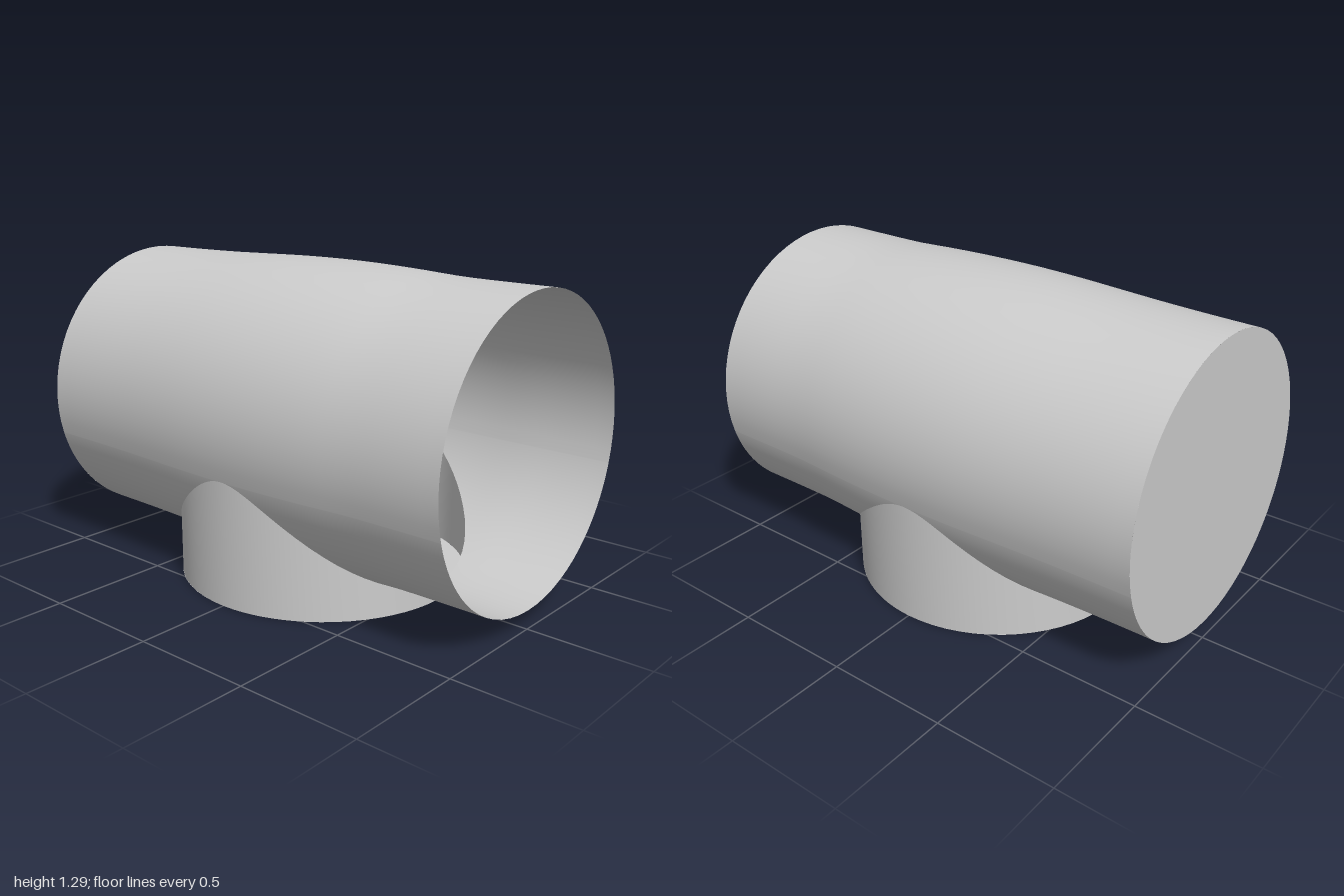
import * as THREE from 'three';
import { mergeVertices } from 'three/addons/utils/BufferGeometryUtils.js';

const AXIS_Y = 0.674;   // height of the main pipe's axis
const BRANCH_R = 0.597; // radius of the vertical branch
const STEPS = 14;       // rings in each half of the main pipe

// Slightly bulging radius of the main pipe along z
const radii = new THREE.CubicInterpolant(
  [-1, -0.8, -0.6, -0.4, -0.2, 0, 0.2, 0.4, 0.6, 0.8, 1],
  [0.597, 0.599, 0.603, 0.610, 0.617, 0.620, 0.618, 0.611, 0.601, 0.599, 0.599], 1);
const radius = (z) => radii.evaluate(z)[0];

// Skin a grid of points; the strip after index "gap" in each row is left open
function skin(rows, gap = -1) {
  const n = rows[0].length;
  const index = [];
  for (let i = 0; i < rows.length - 1; i++) {
    for (let j = 0; j < n - 1; j++) {
      if (j === gap) continue;
      const a = i * n + j, b = a + 1, c = a + n, d = c + 1;
      index.push(a, b, d, a, d, c);
    }
  }
  let geometry = new THREE.BufferGeometry().setFromPoints(rows.flat());
  geometry.setIndex(index);
  geometry = mergeVertices(geometry, 1e-5);
  geometry.computeVertexNormals();
  return geometry;
}

// Half length of the branch opening at an angle measured from the bottom
function openingAt(angle) {
  if (Math.cos(angle) < 0) return 0;
  let z = BRANCH_R * Math.cos(angle);
  for (let k = 0; k < 20; k++) {
    const x = radius(z) * Math.sin(angle);
    z = Math.sqrt(Math.max(0, BRANCH_R ** 2 - x * x));
  }
  return z;
}

export function createModel() {
  const model = new THREE.Group();
  const grey = new THREE.MeshStandardMaterial({ color: 0xcccccc, side: THREE.DoubleSide });
  grey.name = 'grey';
  const add = (name, geometry) => {
    const mesh = new THREE.Mesh(geometry, grey);
    mesh.name = name;
    model.add(mesh);
    return mesh;
  };

  // Angles around the main pipe: across the opening, then over the top
  const edge = Math.asin(BRANCH_R / radius(0));
  const angles = [];
  const across = 40, over = 44;
  for (let i = 0; i <= across; i++) angles.push(edge * Math.sin(Math.PI * (i / across - 0.5)));
  for (let i = 1; i <= over; i++) angles.push(edge + (2 * Math.PI - 2 * edge) * i / over);

  // Main pipe, front to back, cut away where the branch joins
  const rows = angles.map((angle, i) => {
    const hole = i > 0 && i < across ? openingAt(angle) : 0;
    const zs = [];
    for (let j = 0; j <= STEPS; j++) zs.push(THREE.MathUtils.lerp(1, hole, j / STEPS));
    for (let j = 0; j <= STEPS; j++) zs.push(THREE.MathUtils.lerp(-hole, -1, j / STEPS));
    return zs.map((z) => new THREE.Vector3(
      radius(z) * Math.sin(angle), AXIS_Y - radius(z) * Math.cos(angle), z));
  });
  add('mainPipe', skin(rows, STEPS));

  // Branch wall, dropped from the rim of the opening to the floor
  const holeRows = rows.slice(0, across + 1);
  const rim = [
    ...holeRows.map((row) => row[STEPS]),
    ...holeRows.map((row) => row[STEPS + 1]).reverse(),
  ];
  add('branchPipe', skin(rim.map((p) => [p, new THREE.Vector3(p.x, 0, p.z)])));

  // Flat caps on the back end and under the branch; the front stays open
  const backCap = add('backCap', new THREE.CircleGeometry(radius(-1), 64));
  backCap.position.set(0, AXIS_Y, -1);
  backCap.rotation.y = Math.PI;
  const bottomCap = add('bottomCap', new THREE.CircleGeometry(BRANCH_R, 64));
  bottomCap.rotation.x = Math.PI / 2;

  return model;
}
